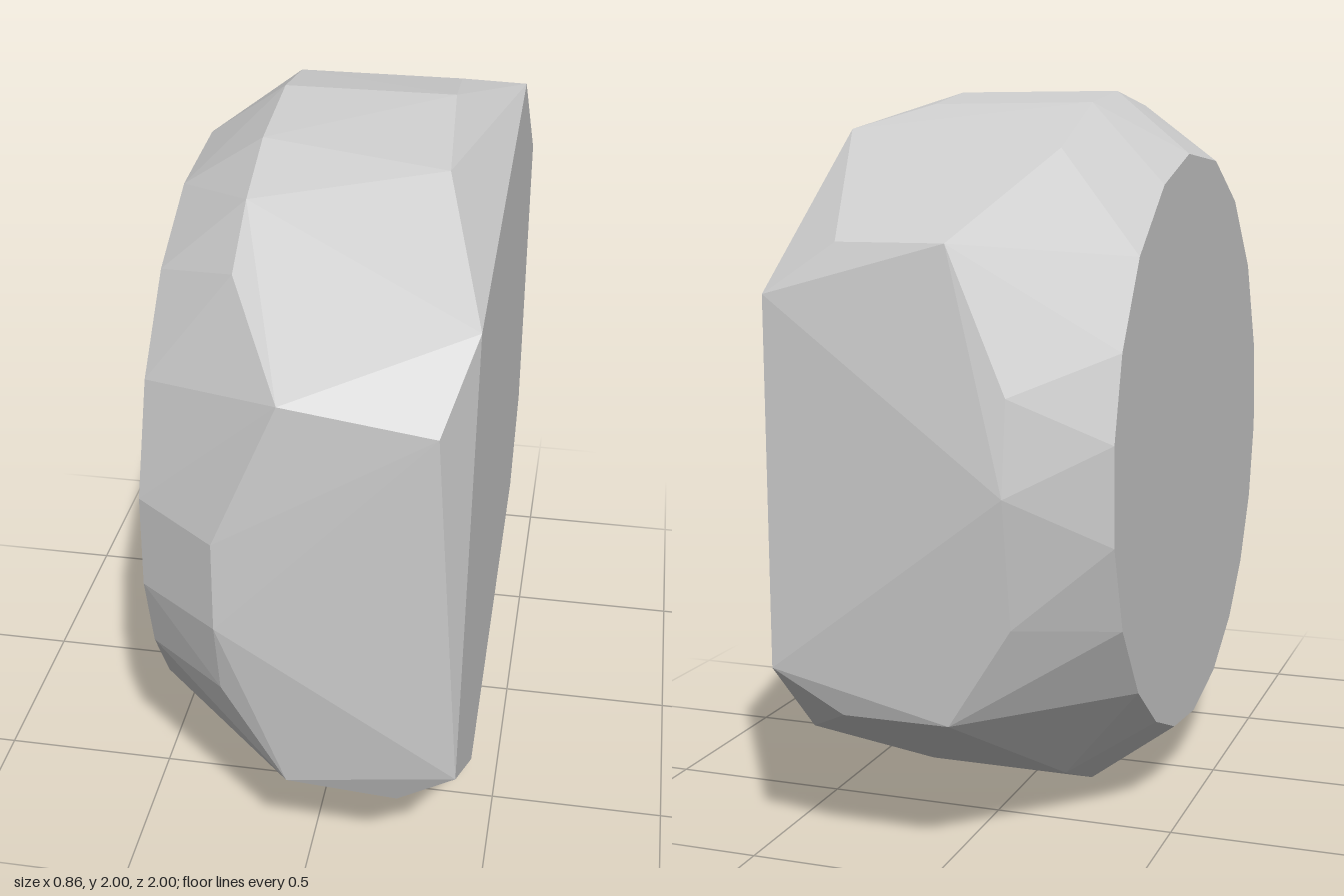
import * as THREE from 'three';
import { ConvexGeometry } from 'three/addons/geometries/ConvexGeometry.js';

// Points on a ring around the x axis; angles in degrees from +z towards +y
function ring(x, radius, angles) {
  return angles.map((deg) => {
    const a = THREE.MathUtils.degToRad(deg);
    return new THREE.Vector3(x, 1 + radius * Math.sin(a), radius * Math.cos(a));
  });
}

export function createModel() {
  const grey = new THREE.MeshStandardMaterial({ color: 0xcccccc, flatShading: true });
  grey.name = 'grey';

  // Round face on the right side
  const disc = ring(-0.43, 0.83, [
    -88, -70, -53, -38, -22, -5.5, 12.5, 34, 54.6, 75,
    97.6, 116.6, 137, 156, 172, 190, 207, 225, 241, 256,
  ]);

  // Widest ring, interrupted where the hexagon corners stick out
  const rim = ring(-0.2, 1, [
    -17, -4, 10.4, 49.5, 62, 75, 92.3, 106, 123,
    166, 180, 200, 240, 255, 270, 284, 297,
  ]);

  // Hexagon corners, crown and foot: x, y, z
  const corners = [
    [-0.03, 1.58, 0.96], [0.36, 1.54, 0.98],
    [-0.04, 1.61, -0.955], [0.25, 1.61, -0.955],
    [-0.03, 0.41, 0.96], [0.27, 0.38, 0.95],
    [-0.04, 0.4, -0.96], [0.25, 0.4, -0.96],
    [0.27, 2, -0.04], [0.26, 1.96, -0.28], [0.3, 1.94, 0.34],
    [0.27, 0, 0], [0.27, 0.06, -0.32], [0.27, 0.03, 0.25],
  ];

  // Flat face on the left side: y, z
  const flatFace = [
    [1.71, 0.76], [1.89, -0.46], [1.48, -1], [0.52, -1],
    [0.29, -0.77], [0.12, 0.48], [0.52, 1],
  ].map(([y, z]) => [0.43, y, z]);

  const points = [
    ...disc,
    ...rim,
    ...[...corners, ...flatFace].map((p) => new THREE.Vector3(...p)),
  ];

  const body = new THREE.Mesh(new ConvexGeometry(points), grey);
  body.name = 'facetedBody';

  const model = new THREE.Group();
  model.name = 'facetedNut';
  model.add(body);
  return model;
}
